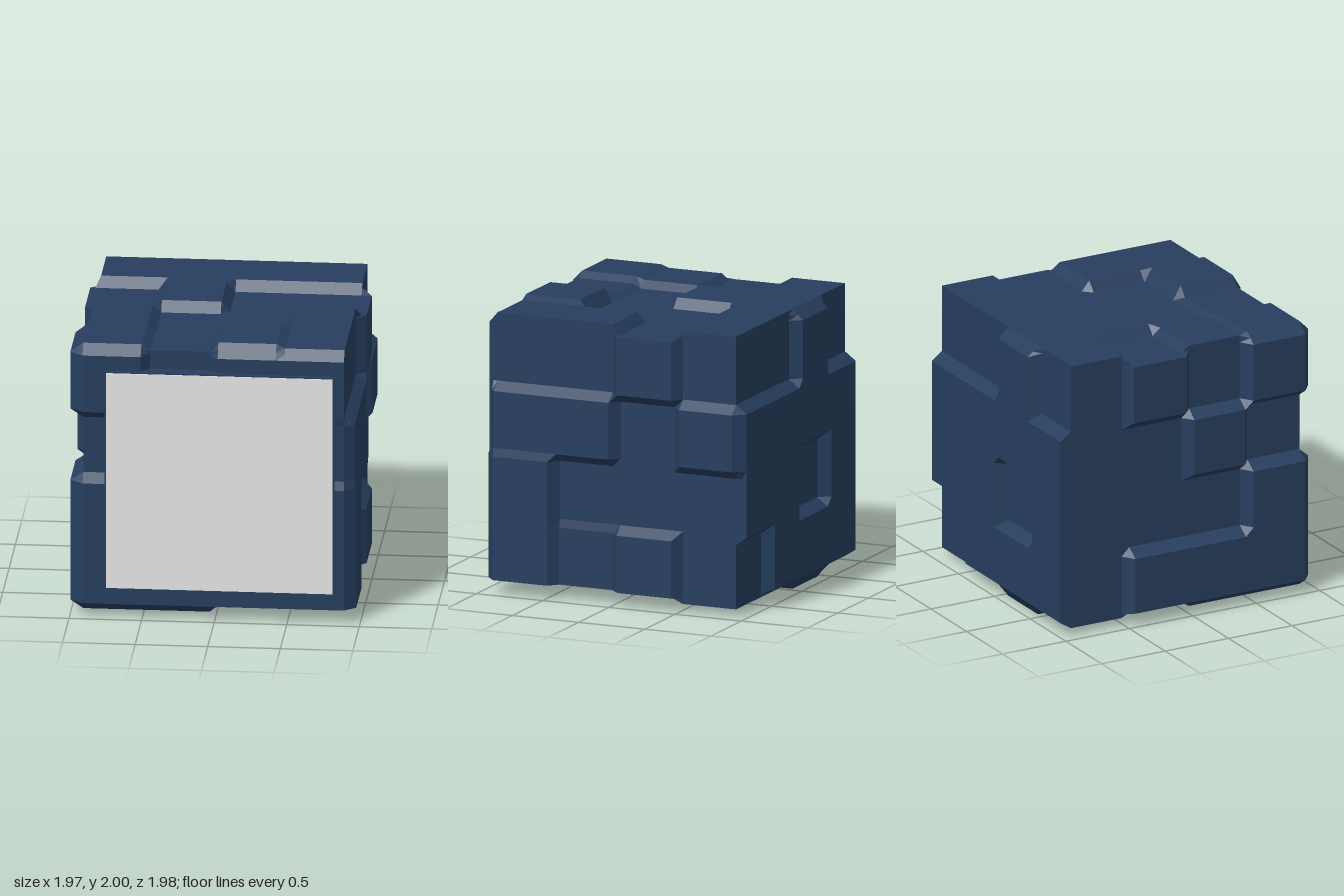
import * as THREE from 'three';

// Height of every cell in a 4 x 4 layout, in hundredths above the core (hex digits).
// Side faces are written as seen from outside; top and bottom run back to front, -x to +x.
const CELLS = {
  right: ['0070', '7707', '8000', '8170'],
  left: ['0709', '0080', '0009', '0999'],
  front: ['7066', '0555', '7777', '7777'],
  back: ['0080', '8888', '8808', '0888'],
  top: ['7777', '0700', '5007', '73A7'],
  bottom: ['5A55', '2222', '6000', '6600'],
};
const CORE = 0.9;
// Two lines per cell: the flat part lies between them, bevels fill the gaps
const LINES = [-CORE, -0.5, -0.44, -0.03, 0.03, 0.43, 0.49, CORE];

function cellHeight(axis, positive, [cx, cy, cz]) {
  let name, row, col;
  if (axis === 0) {
    name = positive ? 'right' : 'left';
    row = 3 - cy;
    col = positive ? 3 - cz : cz;
  } else if (axis === 1) {
    name = positive ? 'top' : 'bottom';
    row = cz;
    col = cx;
  } else {
    name = positive ? 'front' : 'back';
    row = 3 - cy;
    col = positive ? cx : 3 - cx;
  }
  return CORE + parseInt(CELLS[name][row][col], 16) / 100;
}

// Interlocking-block cube: a subdivided box whose faces step up and down cell by cell
function blockCube() {
  const box = new THREE.BoxGeometry(2, 2, 2, 9, 9, 9);
  const pos = box.attributes.position;
  for (let i = 0; i < pos.count; i++) {
    const index = [pos.getX(i), pos.getY(i), pos.getZ(i)].map((p) => Math.round((p + 1) * 4.5));
    const inner = index.map((k) => Math.min(8, Math.max(1, k)));
    const cells = inner.map((k) => (k - 1) >> 1);
    const sum = new THREE.Vector3();
    let faces = 0;
    // Edge and corner vertices take the mean of the faces they join, giving a chamfer
    for (let axis = 0; axis < 3; axis++) {
      if (index[axis] !== 0 && index[axis] !== 9) continue;
      const positive = index[axis] === 9;
      const point = inner.map((k) => LINES[k - 1]);
      point[axis] = (positive ? 1 : -1) * cellHeight(axis, positive, cells);
      sum.add(new THREE.Vector3(...point));
      faces++;
    }
    sum.divideScalar(faces);
    pos.setXYZ(i, sum.x, sum.y, sum.z);
  }
  const geometry = box.toNonIndexed();
  geometry.computeVertexNormals();
  return geometry;
}

export function createModel() {
  const navy = new THREE.MeshStandardMaterial({ color: 0x263e5e, flatShading: true });
  navy.name = 'navy';
  const lightGrey = new THREE.MeshStandardMaterial({ color: 0xe6e6e6 });
  lightGrey.name = 'lightGrey';

  const model = new THREE.Group();
  model.name = 'blockCube';
  const add = (name, geometry, material, x, y, z) => {
    const mesh = new THREE.Mesh(geometry, material);
    mesh.name = name;
    mesh.position.set(x, y, z);
    model.add(mesh);
  };

  add('body', blockCube(), navy, -0.01, 1, -0.01);
  // Square panel on the front with a dark rim
  add('panelFrame', new THREE.BoxGeometry(1.58, 1.58, 0.1), navy, 0.035, 1.005, 0.93);
  add('panel', new THREE.BoxGeometry(1.56, 1.56, 0.008), lightGrey, 0.035, 1.005, 0.983);
  return model;
}
